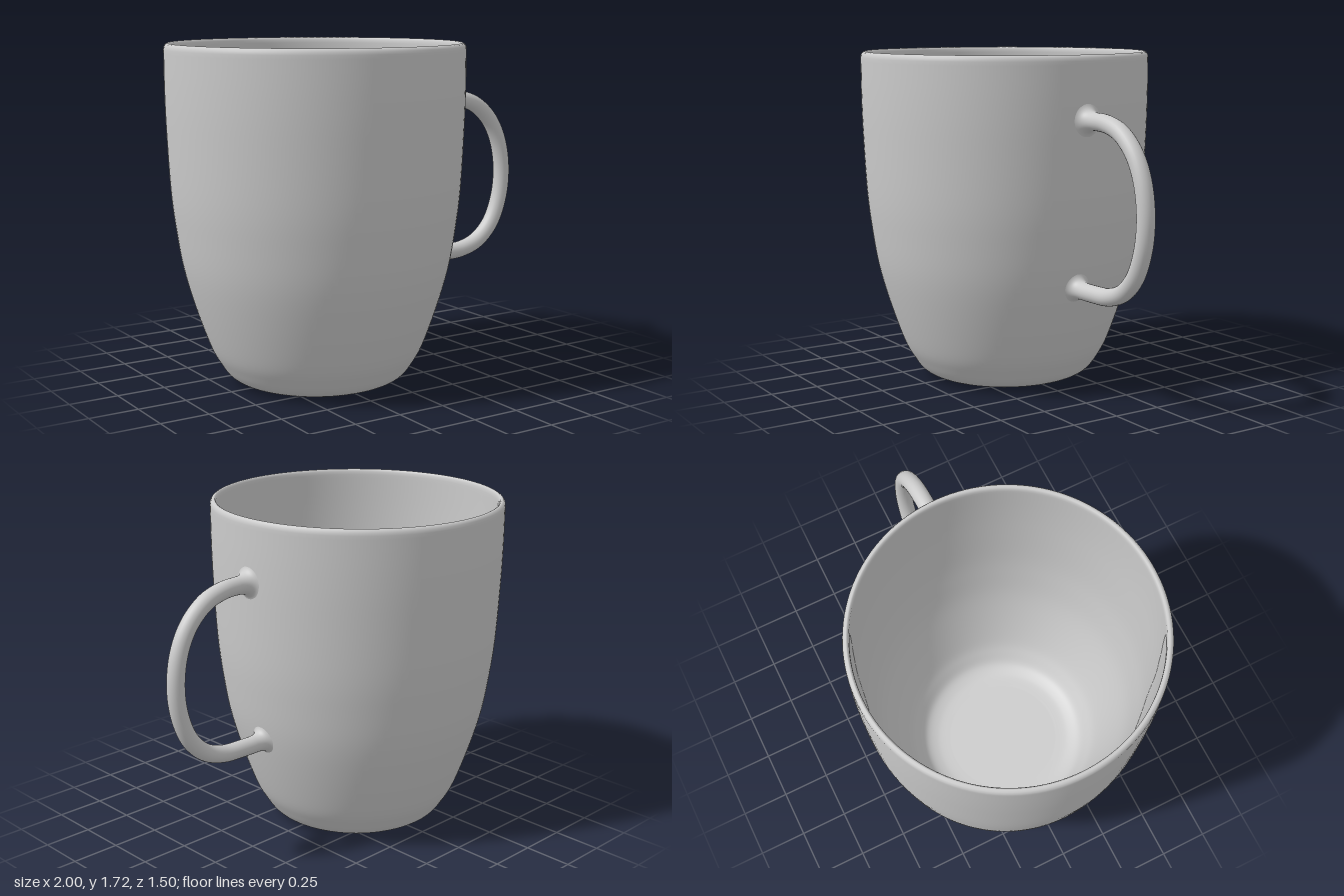
import * as THREE from 'three';
import { ParametricGeometry } from 'three/addons/geometries/ParametricGeometry.js';

const CUP_X = -0.25;    // axis of the cup
const WALL = 0.032;     // wall thickness
const GRIP = 0.044;     // handle tube radius
const material = new THREE.MeshStandardMaterial({ color: 0xcccccc });
const v2 = (x, y) => new THREE.Vector2(x, y);
const v3 = (x, y) => new THREE.Vector3(x, y, 0);

// Outer wall, from the flat base up to just under the rim
const wallCurve = new THREE.SplineCurve([
  [0.3, 0], [0.38, 0.008], [0.45, 0.04], [0.5, 0.105], [0.55, 0.2], [0.62, 0.4],
  [0.675, 0.6], [0.708, 0.8], [0.73, 1.0], [0.745, 1.3], [0.75, 1.5], [0.75, 1.69],
].map(([r, y]) => v2(r, y)));
const STEPS = 70;
const outer = wallCurve.getPoints(STEPS);

// Radius of the outer wall at a height
function wallRadius(y) {
  const i = Math.max(1, outer.findIndex((p) => p.y >= y));
  const a = outer[i - 1], b = outer[i];
  return THREE.MathUtils.lerp(a.x, b.x, (y - a.y) / (b.y - a.y));
}

// Cup: outside, rounded rim, then the inside as an offset of the outside
function cupGeometry() {
  const inner = outer.map((p, i) => {
    const t = wallCurve.getTangent(i / STEPS);
    return v2(p.x - t.y * WALL, p.y + t.x * WALL);
  }).reverse();
  const rim = [v2(0.748, 1.704), v2(0.741, 1.715), v2(0.731, 1.72), v2(0.724, 1.716), v2(0.719, 1.706)];
  const profile = [v2(0, 0), v2(0.15, 0), ...outer, ...rim, ...inner, v2(0.15, WALL), v2(0, WALL)];
  return new THREE.LatheGeometry(profile, 128);
}

// Flared joint: a ring lying on the cup wall that narrows into the handle tube
function flareGeometry(y0, xEnd, spread) {
  return new ParametricGeometry((u, v, target) => {
    const a = u * Math.PI * 2;
    const baseR = GRIP + spread;
    const r = GRIP + spread * Math.pow(1 - v, 2.5);
    const z = baseR * Math.sin(a);
    const wall = wallRadius(y0 + baseR * Math.cos(a));
    const xStart = CUP_X + Math.sqrt(wall * wall - z * z) - 0.004;
    const x = THREE.MathUtils.lerp(xStart, xEnd, Math.pow(v, 1.6));
    target.set(x, y0 + r * Math.cos(a), r * Math.sin(a));
  }, 40, 14);
}

export function createModel() {
  const group = new THREE.Group();
  const add = (name, geometry) => {
    const mesh = new THREE.Mesh(geometry, material);
    mesh.name = name;
    group.add(mesh);
    return mesh;
  };

  add('cup', cupGeometry()).position.x = CUP_X;

  // Handle: D-shaped loop, its ends buried in the wall
  const path = new THREE.CatmullRomCurve3([
    v3(0.485, 1.405), v3(0.56, 1.405), v3(0.65, 1.4), v3(0.76, 1.365), v3(0.86, 1.28),
    v3(0.925, 1.16), v3(0.954, 1.0), v3(0.938, 0.84), v3(0.88, 0.7), v3(0.79, 0.612),
    v3(0.68, 0.572), v3(0.56, 0.564), v3(0.41, 0.564),
  ]);
  add('handle', new THREE.TubeGeometry(path, 90, GRIP, 24));
  add('upperJoint', flareGeometry(1.405, 0.575, 0.055));
  add('lowerJoint', flareGeometry(0.564, 0.49, 0.045));
  return group;
}
